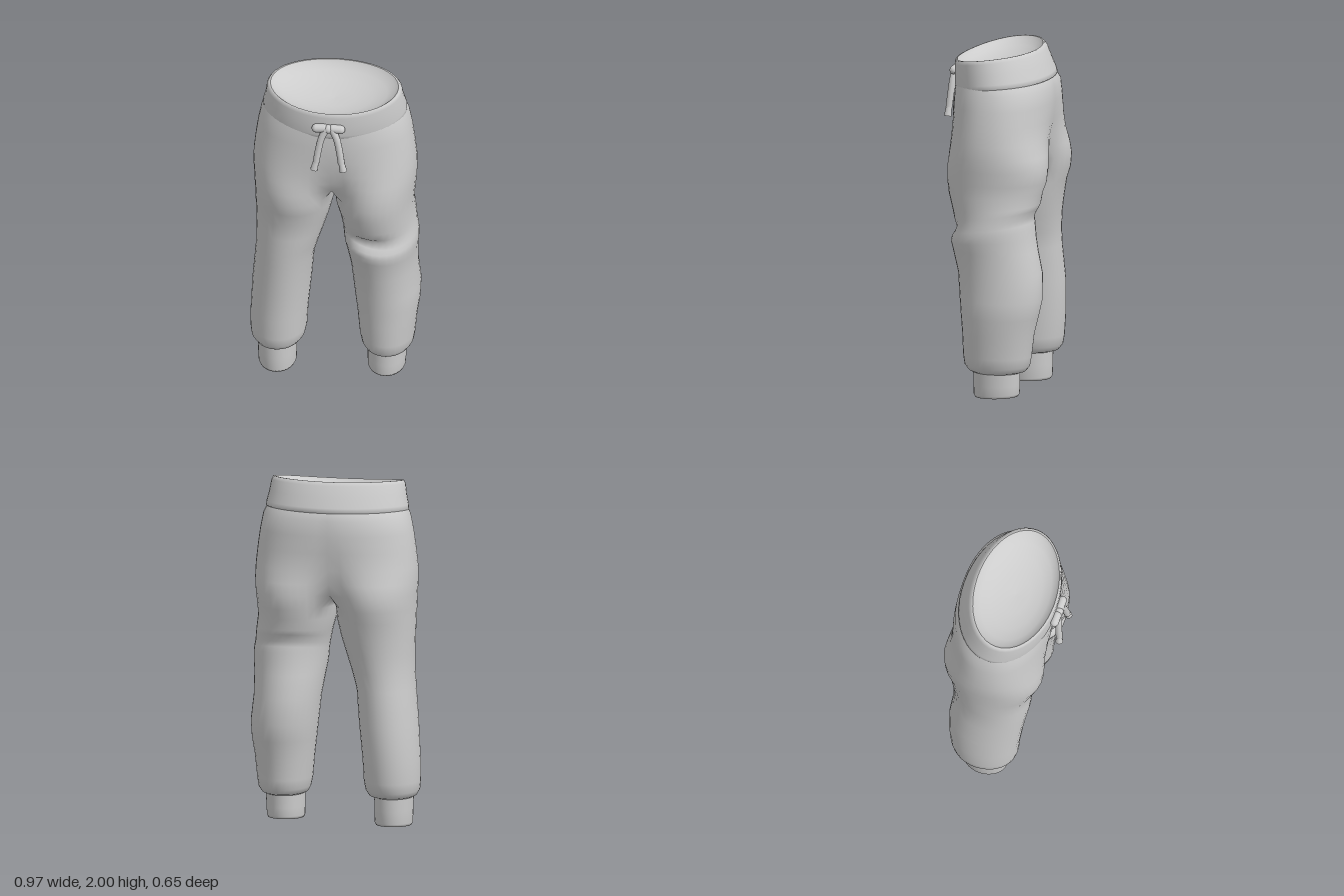
import * as THREE from 'three';
import { mergeVertices } from 'three/addons/utils/BufferGeometryUtils.js';

const V = (x, y, z) => new THREE.Vector3(x, y, z);
const K = 26, M = 8, SPREAD = 0.87; // outer and inner segments, inner thigh angle

// Adds quads between rings listed from top to bottom, counter-clockwise seen from above
function skin(out, rings, flip) {
  for (let r = 0; r + 1 < rings.length; r++) {
    for (let i = 0; i + 1 < rings[r].length; i++) {
      const d = rings[r][i], c = rings[r][i + 1];
      const a = rings[r + 1][i], b = rings[r + 1][i + 1];
      out.push(...(flip ? [a, c, b, a, d, c] : [a, b, c, a, c, d]));
    }
  }
}

function smooth(points) {
  const g = mergeVertices(new THREE.BufferGeometry().setFromPoints(points), 1e-4);
  g.computeVertexNormals();
  return g;
}

// Point on an oval given by its x and z limits; t = 0 is the front, power < 1 is squarer
function oval(t, x0, x1, zf, zb, power = 1) {
  const pw = (v) => Math.sign(v) * Math.abs(v) ** power;
  return V((x0 + x1) / 2 + (x1 - x0) / 2 * pw(Math.sin(t)), 0,
    (zf + zb) / 2 + (zf - zb) / 2 * pw(Math.cos(t)));
}

const legAngle = (i) => i <= K
  ? -SPREAD + (Math.PI + 2 * SPREAD) * i / K
  : Math.PI + SPREAD + (Math.PI - 2 * SPREAD) * (i - K) / M;

// Hips: y, half width, front z, back z, amount of split into two legs
const hips = [
  [1.9, 0.375, 0.24, -0.235, 0], [1.84, 0.4, 0.252, -0.276, 0], [1.79, 0.422, 0.258, -0.3, 0.02],
  [1.7, 0.44, 0.262, -0.308, 0.05], [1.6, 0.454, 0.264, -0.308, 0.15], [1.5, 0.465, 0.266, -0.312, 0.35],
  [1.42, 0.467, 0.267, -0.326, 0.6], [1.35, 0.463, 0.266, -0.328, 0.85],
];

// Legs: y, inner x, outer x, front z, back z, tilt
const legs = {
  right: [
    [1.27, 0.001, 0.459, 0.258, -0.315, 0], [1.2, 0.006, 0.456, 0.24, -0.292, 0],
    [1.1, 0.03, 0.453, 0.208, -0.273, 0], [1.0, 0.06, 0.449, 0.202, -0.258, 0],
    [0.9, 0.092, 0.45, 0.198, -0.25, 0],
    [0.8, 0.12, 0.457, 0.187, -0.25, 0], [0.6, 0.138, 0.475, 0.167, -0.265, 0],
    [0.4, 0.158, 0.486, 0.152, -0.26, 0], [0.27, 0.165, 0.488, 0.147, -0.25, 0],
    [0.215, 0.176, 0.482, 0.138, -0.24, 0], [0.185, 0.195, 0.465, 0.115, -0.215, 0],
    [0.175, 0.222, 0.447, 0.09, -0.185, 0],
  ],
  left: [
    [1.27, 0.001, 0.455, 0.26, -0.315, 0], [1.2, 0.006, 0.451, 0.25, -0.292, 0.03],
    [1.12, 0.026, 0.459, 0.222, -0.285, 0.1],
    [1.08, 0.034, 0.463, 0.212, -0.272, 0.15], [1.04, 0.042, 0.468, 0.205, -0.25, 0.15],
    [1.01, 0.046, 0.474, 0.212, -0.255, 0.15], [0.98, 0.049, 0.478, 0.22, -0.26, 0.13],
    [0.94, 0.054, 0.478, 0.226, -0.265, 0.08],
    [0.88, 0.064, 0.472, 0.215, -0.278, 0], [0.75, 0.085, 0.468, 0.182, -0.308, 0],
    [0.6, 0.1, 0.484, 0.167, -0.312, 0], [0.5, 0.112, 0.48, 0.159, -0.29, 0],
    [0.4, 0.125, 0.465, 0.152, -0.265, 0],
    [0.27, 0.137, 0.453, 0.147, -0.25, 0], [0.215, 0.148, 0.444, 0.138, -0.24, 0],
    [0.185, 0.163, 0.425, 0.115, -0.215, 0], [0.175, 0.182, 0.407, 0.09, -0.185, 0],
  ],
};

function hipRing([y, x, zf, zb, split]) {
  return Array.from({ length: K + 1 }, (_, i) => {
    const p = oval(Math.PI * i / K, -x, x, zf, zb, split ? 0.92 : 1);
    p.lerp(oval(legAngle(i), 0, x, zf, zb), split).setY(y);
    if (i === 0 || i === K) p.x = 0;
    return p;
  });
}

function legRing([y, x0, x1, zf, zb, tilt]) {
  return Array.from({ length: K + M + 1 }, (_, i) => {
    const p = oval(legAngle(i % (K + M)), x0, x1, zf, zb);
    return p.setY(y - tilt * p.z);
  });
}

const mirror = (rings, s) => rings.map((r) => r.map((p) => V(p.x * s, p.y, p.z)));

// Pinched fold across the front of the bent knee
function kneeFold(p) {
  if (p.z > 0) {
    p.z -= 0.045 * Math.exp(-(((p.y - 1.005) / 0.03) ** 2) - ((p.x - 0.2) / 0.12) ** 2);
  }
}

// Hips and both legs as one smooth skin
function trouserGeometry() {
  const out = [];
  for (const [side, s] of [['left', 1], ['right', -1]]) {
    const top = hips.map(hipRing);
    skin(out, mirror(top, s), s < 0);
    // Crotch seam sags between the front and back centre points
    const last = top[top.length - 1], seam = [...last];
    for (let j = 1; j <= M; j++) {
      const p = last[K].clone().lerp(last[0], j / M);
      p.y -= 0.06 * Math.sin(Math.PI * j / M);
      seam.push(p);
    }
    const rings = legs[side].map(legRing);
    if (side === 'left') rings.flat().forEach(kneeFold);
    skin(out, mirror([seam, ...rings], s), s < 0);
  }
  return smooth(out);
}

// Ring following the slanted, dipping waist: drop below the rim, half width, front z, back z
function waistRing([drop, x, zf, zb]) {
  return Array.from({ length: 49 }, (_, i) => {
    const p = oval((i % 48) / 24 * Math.PI, -x, x, zf, zb);
    return p.setY(2 - drop - 0.065 * Math.max(0, (p.z + 0.21) / 0.475) ** 2);
  });
}

const band = [
  [0, 0.365, 0.254, -0.204], [0, 0.376, 0.262, -0.213], [0.02, 0.386, 0.267, -0.23],
  [0.08, 0.395, 0.268, -0.255], [0.14, 0.409, 0.266, -0.28], [0.165, 0.41, 0.259, -0.287],
  [0.175, 0.4, 0.25, -0.27],
].map(waistRing);

// Shallow hollow inside the waist
const hollow = [
  [0.09, 0.001, 0.026, 0.024], [0.085, 0.12, 0.1, -0.05], [0.07, 0.22, 0.165, -0.115],
  [0.045, 0.3, 0.214, -0.164], [0.02, 0.345, 0.242, -0.192], [0, 0.365, 0.254, -0.204],
].map(waistRing);

export function createModel() {
  const model = new THREE.Group();
  model.name = 'sweatpants';
  const grey = new THREE.MeshStandardMaterial({ color: 0xcccccc });
  grey.name = 'grey cloth';
  const add = (name, geometry, parent = model) => {
    const mesh = new THREE.Mesh(geometry, grey);
    mesh.name = name;
    parent.add(mesh);
    return mesh;
  };

  add('hipsAndLegs', trouserGeometry());

  for (const [name, rings] of [['waistband', band], ['waistOpening', hollow]]) {
    const points = [];
    skin(points, rings, false);
    add(name, smooth(points));
  }

  // Ankle cuffs with closed, slightly rounded ends
  for (const [side, s, x0, x1, foot] of [['left', 1, 0.18, 0.405, 0.03], ['right', -1, 0.222, 0.447, 0.008]]) {
    const mid = (x0 + x1) / 2, wall = [];
    const rings = [
      [0.2, x0, x1, 0.09, -0.182, 0], [0.1, x0 + 0.002, x1 - 0.003, 0.088, -0.18, 0],
      [foot + 0.015, x0 + 0.003, x1 - 0.006, 0.087, -0.178, 0.04],
      [foot, x0 + 0.01, x1 - 0.013, 0.08, -0.17, 0.04],
      [foot, mid - 0.001, mid + 0.001, -0.044, -0.046, 0.04],
    ].map(legRing);
    skin(wall, mirror(rings, s), s < 0);
    add(side + 'Cuff', smooth(wall));
  }

  // Drawstring bow with two hanging cords
  const bow = new THREE.Group();
  bow.name = 'drawstring';
  model.add(bow);
  const knot = add('knot', new THREE.SphereGeometry(0.026, 14, 10), bow);
  knot.position.set(-0.005, 1.855, 0.283);
  for (const s of [-1, 1]) {
    const loop = add('bowLoop', new THREE.CapsuleGeometry(0.025, 0.045, 6, 12), bow);
    loop.position.set(s * 0.048 - 0.005, 1.856, 0.28);
    loop.rotation.z = Math.PI / 2 - s * 0.06;
    const path = new THREE.CatmullRomCurve3([
      V(s * 0.014, 1.86, 0.285), V(s * 0.042, 1.8, 0.293), V(s * 0.06, 1.72, 0.3), V(s * 0.072, 1.64, 0.307),
    ]);
    add('cord', new THREE.TubeGeometry(path, 12, 0.02, 10), bow);
    const tip = add('cordTip', new THREE.CylinderGeometry(0.017, 0.022, 0.055, 10), bow);
    tip.position.set(s * 0.078, 1.617, 0.309);
    tip.rotation.set(-0.08, 0, s * 0.2);
  }
  return model;
}
